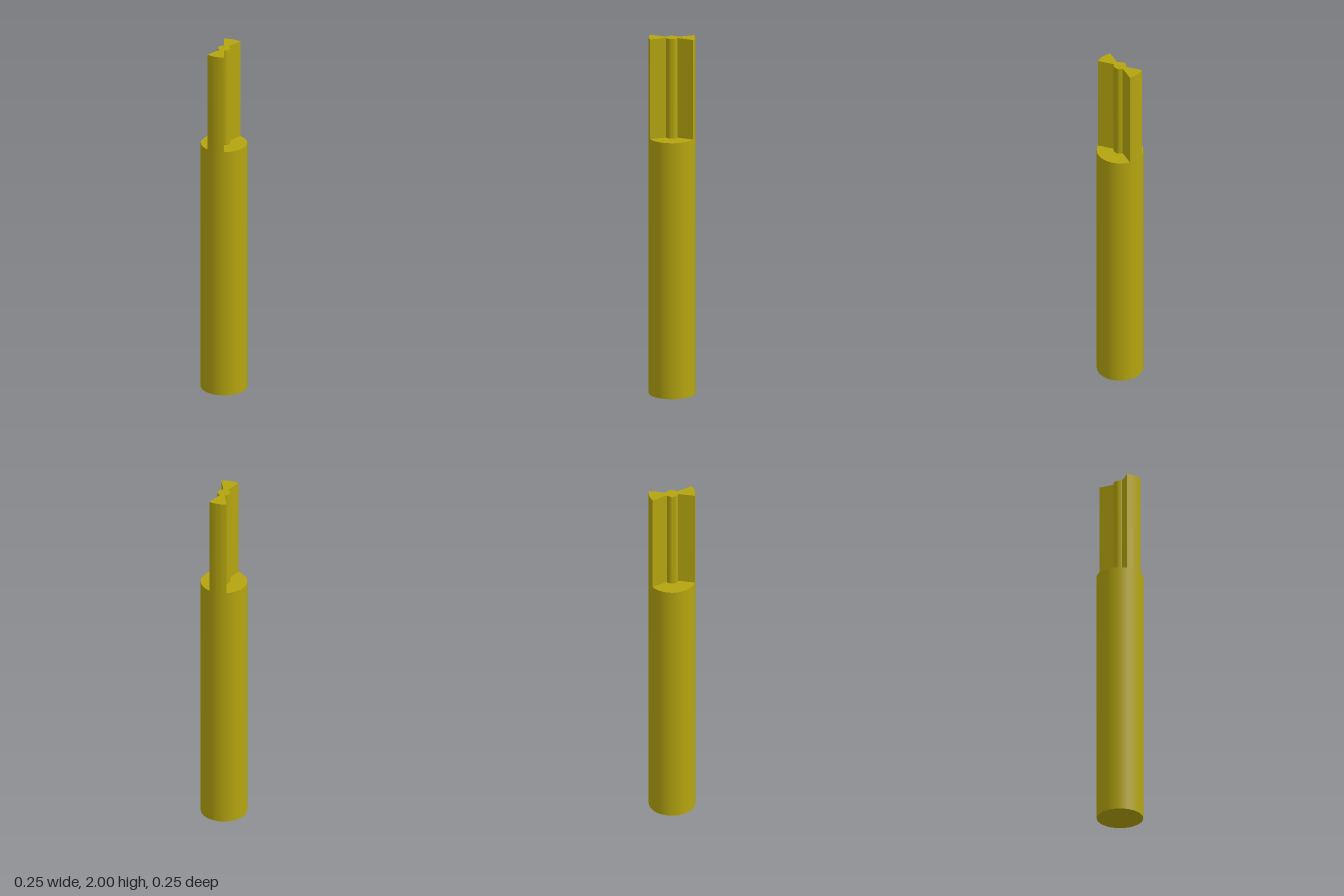
import * as THREE from 'three';
import { toCreasedNormals } from 'three/addons/utils/BufferGeometryUtils.js';

const RADIUS = 0.126, CORE = 0.034, SHOULDER = 1.44, HEIGHT = 2;

export function createModel() {
  const group = new THREE.Group();
  const material = new THREE.MeshStandardMaterial({ color: 0xb5a50f });

  // Round shank
  const shank = new THREE.Mesh(
    new THREE.CylinderGeometry(RADIUS, RADIUS, SHOULDER, 64), material);
  shank.position.y = SHOULDER / 2;
  shank.name = 'shank';
  group.add(shank);

  // Two opposite wedge-shaped blades joined by a slim round core
  const half = Math.PI / 8;
  const section = new THREE.Shape();
  for (let i = 0; i < 2; i++) {
    const mid = THREE.MathUtils.degToRad(89) + i * Math.PI;
    section.absarc(0, 0, RADIUS, mid - half, mid + half, false);
    section.absarc(0, 0, CORE, mid + half, mid + Math.PI - half, false);
  }
  section.closePath();
  const geometry = new THREE.ExtrudeGeometry(section, {
    depth: HEIGHT - SHOULDER, bevelEnabled: false, curveSegments: 16,
  });
  geometry.rotateX(-Math.PI / 2);
  const blades = new THREE.Mesh(toCreasedNormals(geometry, 0.5), material);
  blades.position.y = SHOULDER;
  blades.name = 'cuttingBlades';
  group.add(blades);

  return group;
}
